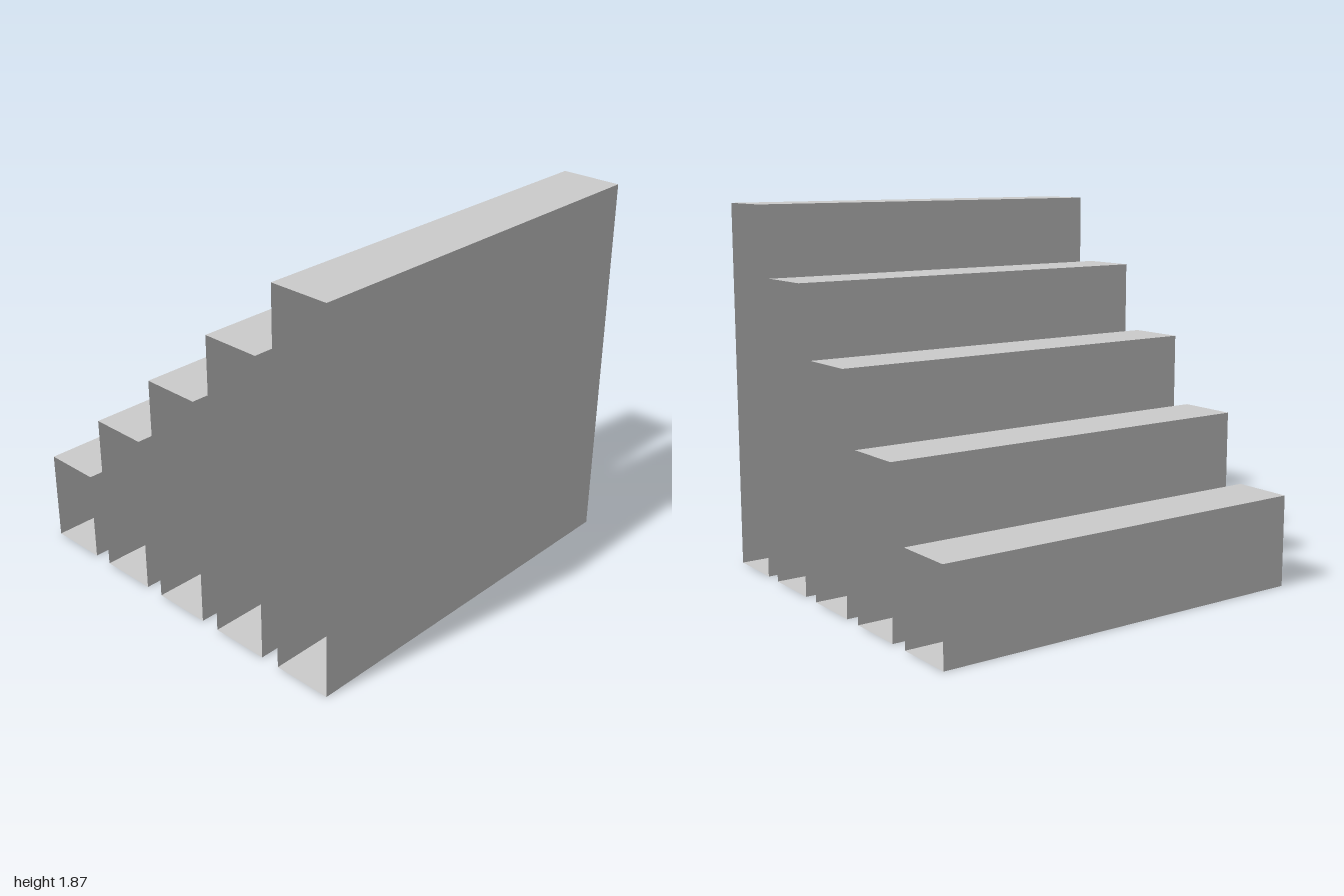
import * as THREE from 'three';

const COUNT = 5;
const WIDTH = 0.303;
const SPACING = 0.405;
const LENGTH = 2;
const MIN_HEIGHT = 0.46;
const MAX_HEIGHT = 1.87;

// Thin rectangular sleeve along z, open at both ends, standing on y = 0
function sleeveGeometry(width, height, length) {
  const geometry = new THREE.BoxGeometry(width, height, length);
  // Keep the four long sides (+x, -x, +y, -y) and drop the two end caps
  geometry.setIndex(Array.from(geometry.index.array).slice(0, 24));
  geometry.clearGroups();
  geometry.translate(0, height / 2, 0);
  return geometry;
}

export function createModel() {
  const model = new THREE.Group();
  model.name = 'risingBars';
  const material = new THREE.MeshStandardMaterial({ color: 0xcccccc, side: THREE.DoubleSide });

  // Bars rise in equal steps toward +x
  for (let i = 0; i < COUNT; i++) {
    const height = THREE.MathUtils.lerp(MIN_HEIGHT, MAX_HEIGHT, i / (COUNT - 1));
    const bar = new THREE.Mesh(sleeveGeometry(WIDTH, height, LENGTH), material);
    bar.name = `bar${i + 1}`;
    bar.position.x = (i - (COUNT - 1) / 2) * SPACING;
    model.add(bar);
  }
  return model;
}
